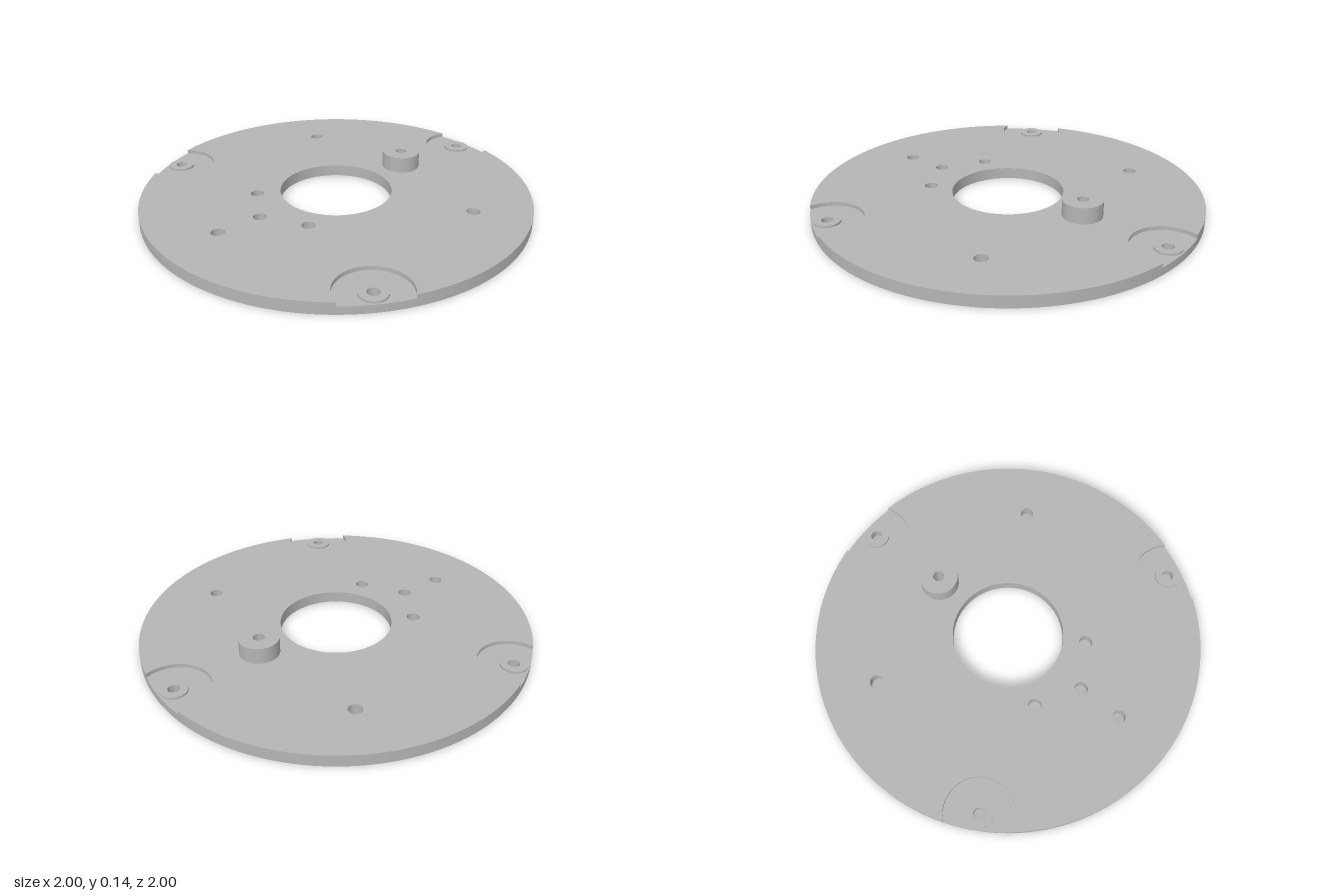
import * as THREE from 'three';
import { mergeGeometries, toCreasedNormals } from 'three/addons/utils/BufferGeometryUtils.js';

// Heights of the plate's levels
const BORE = 0.02, FLOOR = 0.04, PAD = 0.05, TOP = 0.06, BOSS = 0.145;

// Plan outlines are counter-clockwise, drawn in x and -z
const arc = (x, y, r, a0, a1, n) => Array.from({ length: n + 1 }, (_, i) => {
  const a = a0 + (a1 - a0) * i / n;
  return new THREE.Vector2(x + r * Math.cos(a), y + r * Math.sin(a));
});
const circle = (x, z, r, n = 40) => arc(x, -z, r, 0, 2 * Math.PI, n).slice(0, -1);

// Flat face at height y, with holes, facing up or down
function cap(outline, holes, y, down = false) {
  const shape = new THREE.Shape(outline);
  shape.holes = holes.map((h) => new THREE.Path(h));
  const g = new THREE.ShapeGeometry(shape).rotateX(-Math.PI / 2);
  if (down) {
    const idx = g.index.array;
    for (let i = 0; i < idx.length; i += 3) [idx[i], idx[i + 1]] = [idx[i + 1], idx[i]];
    g.computeVertexNormals();
  }
  g.translate(0, y, 0).deleteAttribute('uv');
  return g.toNonIndexed();
}

// Upright wall along a closed outline, facing out, or in for a hole
function wall(outline, y0, y1, inward = false) {
  const pts = inward ? [...outline].reverse() : outline;
  const pos = [];
  pts.forEach((a, i) => {
    const b = pts[(i + 1) % pts.length];
    pos.push(a.x, y0, -a.y, b.x, y0, -b.y, b.x, y1, -b.y);
    pos.push(a.x, y0, -a.y, b.x, y1, -b.y, a.x, y1, -a.y);
  });
  const g = new THREE.BufferGeometry();
  g.setAttribute('position', new THREE.Float32BufferAttribute(pos, 3));
  g.computeVertexNormals();
  return toCreasedNormals(g, 0.6);
}

export function createModel() {
  const group = new THREE.Group();
  const grey = new THREE.MeshStandardMaterial({ color: 0xb5b5b5 });
  grey.name = 'grey metal';
  const add = (name, ...parts) => {
    const mesh = new THREE.Mesh(mergeGeometries(parts), grey);
    mesh.name = name;
    group.add(mesh);
  };

  const rim = circle(0, 0, 1, 160);
  const opening = circle(0, 0, 0.288, 96);
  const throughHoles = [
    [-0.62, -0.36], [0.62, -0.36], [-0.215, 0.345], [0.215, 0.345], [0, 0.475], [0, 0.71],
  ].map(([x, z]) => circle(x, z, 0.034));

  // Three round pockets that break through the rim
  const D = 0.925, R = 0.176;
  const half = Math.acos((1 + D * D - R * R) / (2 * D));
  const phi = Math.atan2(Math.sin(half), Math.cos(half) - D);
  const pockets = [1, 5, 9].map((k, i) => {
    const a = (Math.PI / 6) * (1 + 4 * i) + Math.PI / 3;
    const x = D * Math.cos(a), y = D * Math.sin(a);
    return {
      a, x, z: -y,
      bite: arc(x, y, R, a + phi, a + 2 * Math.PI - phi, 48).slice(1, -1),
      edge: arc(0, 0, 1, a - half, a + half, 10),
      pad: circle(x, -y, 0.067),
      hole: circle(x, -y, 0.029),
    };
  });

  // Top outline: rim arcs joined by the pocket bites
  const topOutline = pockets.flatMap((p) => [
    ...[...p.bite].reverse(),
    ...arc(0, 0, 1, p.a + half, p.a + 2 * Math.PI / 3 - half, 48),
  ]);

  // Standoff boss with a counterbore from below
  const bossOuter = circle(0, -0.465, 0.1, 64);
  const bossHole = circle(0, -0.465, 0.029);
  const counterbore = circle(0, -0.465, 0.047);
  add('standoffBoss',
    wall(bossOuter, TOP, BOSS),
    cap(bossOuter, [bossHole], BOSS),
    wall(bossHole, BORE, BOSS, true),
    cap(counterbore, [bossHole], BORE, true),
    wall(counterbore, 0, BORE, true));

  // Round plate
  add('plate',
    cap(rim, [opening, counterbore, ...throughHoles, ...pockets.map((p) => p.hole)], 0, true),
    cap(topOutline, [opening, bossOuter, ...throughHoles], TOP),
    wall(rim, 0, FLOOR),
    wall(topOutline, FLOOR, TOP));
  add('centreOpening', wall(opening, 0, TOP, true));
  add('throughHoles', ...throughHoles.map((h) => wall(h, 0, TOP, true)));

  // Pocket floors, each with a raised pad around its screw hole
  for (const p of pockets) {
    add('pocketFloor', cap([...p.bite, ...p.edge], [p.pad], FLOOR));
    add('screwPad',
      wall(p.pad, FLOOR, PAD),
      cap(p.pad, [p.hole], PAD),
      wall(p.hole, 0, PAD, true));
  }
  return group;
}
